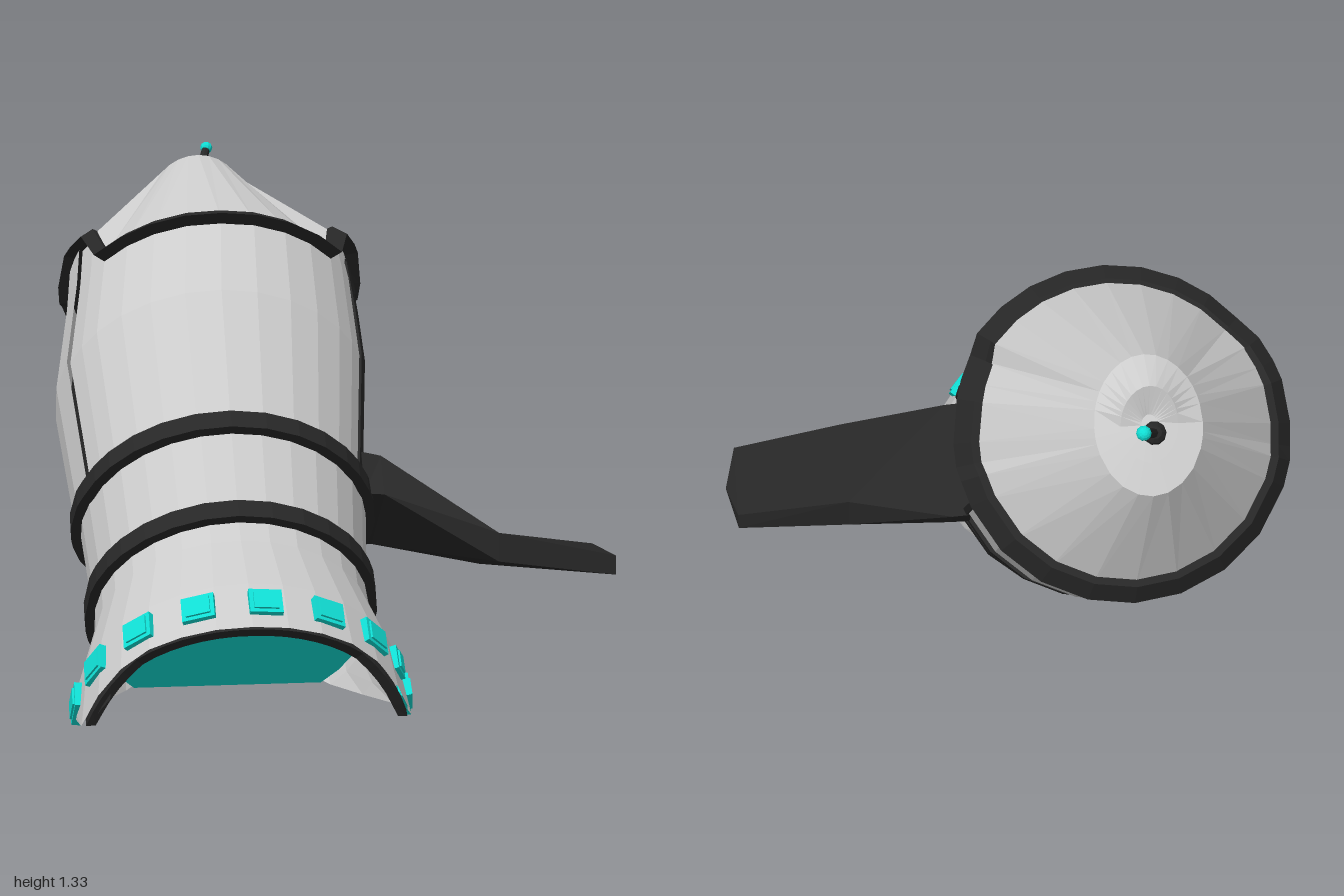
import * as THREE from 'three';

const mat = (color, side = THREE.DoubleSide) => new THREE.MeshStandardMaterial({ color, flatShading: true, side });
const GREY = mat(0xcccccc), BLACK = mat(0x272727), TEAL = mat(0x10ddd3);
const RAD = Math.PI / 180, TILT = -52.3 * RAD, LIFT = 0.375;

// hull profile: height along the axis, radius, shift of the centre in z and in x
const PROFILE = [[-0.65, 0.42, -0.03, 0], [-0.46, 0.4, -0.02, 0], [-0.27, 0.35, -0.03, 0], [-0.18, 0.35, -0.03, 0],
  [0.1, 0.375, -0.01, 0], [0.51, 0.42, 0, 0.005], [0.81, 0.4, 0.005, 0.025], [1, 0.385, 0, 0.027], [1.35, 0.385, 0, 0.01]];
// band courses and base edge: angle from the front, height along the axis
const UPPER = [[0, 0.805], [50, 0.815], [59, 0.957], [75, 0.998], [98, 0.982], [103, 1.01], [180, 1.004]];
const MIDDLE = [[0, 0.08], [68, 0.078], [115, 0.12], [180, 0.138]];
const LOWER = [[0, -0.185], [118, -0.19], [125, -0.13], [180, -0.12]];
const LIP = [[0, -0.6], [42, -0.595], [72, -0.65]];
// height of the crushed underside above the ground along the axis
const FLOOR = [[-0.65, 0.05], [-0.4, 0.004], [-0.25, 0.006], [-0.1, 0.03]];
const HALF = [0, 13, 26, 38, 50, 59, 68, 75, 90, 98, 103, 112, 130, 147, 164, 180];
const AROUND = [...HALF.slice(1).reverse().map((a) => -a), ...HALF];
const ANGLES = [...AROUND, ...HALF.slice(0, -1).reverse().map((a) => 360 - a)];

// piecewise linear lookup
function lookup(table, x, col = 1) {
  if (x <= table[0][0]) return table[0][col];
  for (let i = 1; i < table.length; i++) {
    const a = table[i - 1], b = table[i];
    if (x <= b[0]) return a[col] + (b[col] - a[col]) * (x - a[0]) / (b[0] - a[0]);
  }
  return table[table.length - 1][col];
}
const radius = (s) => lookup(PROFILE, s, 1);
const shift = (s) => lookup(PROFILE, s, 2);
const fold = (deg) => Math.abs(((deg + 180) % 360 + 360) % 360 - 180);
const upperAt = (deg) => lookup(UPPER, fold(deg));

// lowest local z above the crushed underside, and the angle where the hull meets it
const groundZ = (s) => (lookup(FLOOR, s) - LIFT - Math.cos(TILT) * s) / -Math.sin(TILT);
const groundAngle = (s) => Math.acos(THREE.MathUtils.clamp((groundZ(s) - shift(s)) / radius(s), -1, 1)) / RAD;

// point on the rocket from angle, height and radius
function point(deg, s, r) {
  const z = shift(s) + r * Math.cos(deg * RAD);
  return [lookup(PROFILE, s, 3) + r * Math.sin(deg * RAD), s, Math.max(z, groundZ(s))];
}

// grid of rows of points turned into a surface
function surface(name, rows, material) {
  const n = rows[0].length, index = [];
  for (let j = 0; j < rows.length - 1; j++) {
    for (let i = 0; i < n - 1; i++) {
      const a = j * n + i, b = a + 1, c = a + n, d = c + 1;
      index.push(a, b, d, a, d, c);
    }
  }
  const g = new THREE.BufferGeometry();
  g.setAttribute('position', new THREE.Float32BufferAttribute(rows.flat(2), 3));
  g.setIndex(index);
  g.computeVertexNormals();
  const mesh = new THREE.Mesh(g, material);
  mesh.name = name;
  return mesh;
}

// part of the hull between two angles, from s0 up to s1 or the upper band
function hullPatch(name, from, to, s0, s1, material = GREY, inset = 0, angles = ANGLES) {
  const heights = [s0, ...PROFILE.map((p) => p[0]).filter((s) => s > s0 && s < s1), s1];
  const cols = angles.filter((a) => a >= from && a <= to);
  return surface(name, heights.map((h) => cols.map((a) => {
    const s = Math.min(h, upperAt(a));
    return point(a, s, radius(s) - inset);
  })), material);
}

// four-cornered bar that follows a path of [angle, height] over the hull
function bar(name, path, dDeg, ds, inner, outer, taper = 0) {
  const corners = [[-1, -inner], [-1, outer + taper], [1, outer - taper], [1, -inner], [-1, -inner]];
  return surface(name, path.map(([a, s]) =>
    corners.map(([k, dr]) => point(a + k * dDeg, s + k * ds, radius(s) + dr))), BLACK);
}
const band = (name, course, ds, outer, taper) =>
  bar(name, AROUND.map((a) => [a, lookup(course, fold(a))]), 0, ds, 0.02, outer, taper);

export function createModel() {
  const model = new THREE.Group();
  model.name = 'crashedRocket';
  const rocket = new THREE.Group();
  rocket.name = 'rocket';
  rocket.position.set(-0.3, LIFT, 0.29);
  rocket.rotation.x = TILT;
  model.add(rocket);

  // lower hull, cut off where it meets the ground
  const lowRows = [-0.65, -0.56, -0.46, -0.36, -0.27, -0.18, -0.04, 0.1].map((s, row) => {
    const m = groundAngle(s);
    return Array.from({ length: 31 }, (_, i) => {
      const a = THREE.MathUtils.clamp(-180 + i * 12, -m, m);
      const h = row ? s : lookup(LIP, Math.abs(a));
      return point(a, h, radius(h));
    });
  });
  rocket.add(surface('lowerHull', lowRows, GREY));

  // main hull around the open doorway, and the closed door opposite
  rocket.add(hullPatch('frontHull', -68, 68, 0.1, 1.01));
  rocket.add(hullPatch('backHull', 112, 248, 0.1, 1.01));
  rocket.add(hullPatch('hullAboveDoorway', 68, 112, 0.88, 1.01));
  rocket.add(hullPatch('closedDoor', -112, -68, 0.1, 1.01, GREY, -0.01, [-112, -98, -82, -68]));
  rocket.add(hullPatch('closedDoorLining', -109, -71, 0.12, 0.88, BLACK, 0.03, [-109, -98, -82, -71]));

  // nose cone with a narrowed, dented tip
  const noseRow = (s, r, rise = 0) => AROUND.map((a) => {
    const [x, y, z] = point(a, s, r);
    return [0.01 + (x - 0.01) * 0.77, y + rise * Math.max(0, Math.cos(a * RAD)), z];
  });
  rocket.add(surface('noseCone', [
    AROUND.map((a) => point(a, upperAt(a), radius(upperAt(a)))),
    noseRow(1.322, 0.17), noseRow(1.33, 0.09, 0.05), noseRow(1.335, 0.025), noseRow(1.335, 0),
  ], GREY));

  // black bands
  rocket.add(band('upperBand', UPPER, 0.027, 0.02, 0.02));
  rocket.add(band('middleBand', MIDDLE, 0.026, 0.024));
  rocket.add(band('lowerBand', LOWER, 0.026, 0.024));

  // doorway frame
  for (const [a, width] of [[68, 2], [112, 1.2]]) {
    rocket.add(bar('doorwaySide', [0.1, 0.3, 0.51, 0.7, 0.88].map((s) => [a, s]), width, 0, 0.012, 0.006));
  }
  rocket.add(bar('doorwayTop', [[67, 0.88], [80, 0.86], [90, 0.855], [100, 0.87], [113, 0.895]], 0, 0.016, 0.03, 0.006));

  // rim of the base and the dark strip inside it
  const rimEnd = groundAngle(-0.65);
  const rimPath = Array.from({ length: 25 }, (_, i) => -rimEnd + 2 * rimEnd * i / 24)
    .map((a) => [a, lookup(LIP, Math.abs(a)) + 0.012]);
  rocket.add(bar('baseRim', rimPath, 0, 0.01, 0.035, -0.011));
  rocket.add(surface('baseInnerStrip', [-0.64, -0.59, -0.54].map((s) =>
    [-76, -70, -64, -58].map((a) => point(a, s, radius(s) - 0.025))), BLACK));

  // glowing plate inside the base, facing out of the opening
  const disc = [0, 0.5, 0.85, 1].map((k) => Array.from({ length: 33 }, (_, i) => point(i * 11.25, -0.25, 0.345 * k)));
  rocket.add(surface('enginePlate', disc, mat(0x10ddd3, THREE.FrontSide)));

  // row of lights round the base
  for (const a of [-84, -62.5, -40, -17.5, 5, 27.5, 49, 66, 84]) {
    const light = new THREE.Group();
    light.name = 'baseLight';
    const w = a === 66 ? 0.05 : 0.08;
    const plate = new THREE.Mesh(new THREE.BoxGeometry(w, 0.07, 0.024), TEAL);
    const lens = new THREE.Mesh(new THREE.BoxGeometry(w - 0.02, 0.05, 0.034), TEAL);
    plate.name = 'lightPlate';
    lens.name = 'lightLens';
    light.add(plate, lens);
    light.position.set(...point(a, -0.525, radius(-0.525)));
    light.rotation.y = a * RAD;
    rocket.add(light);
  }

  // antenna
  const foot = new THREE.Vector3(0, 1.33, -0.02), tip = new THREE.Vector3(0.06, 1.58, -0.03);
  const rod = new THREE.Mesh(new THREE.TubeGeometry(new THREE.LineCurve3(foot, tip), 1, 0.012, 8), BLACK);
  rod.name = 'antennaRod';
  const base = new THREE.Mesh(new THREE.SphereGeometry(0.03, 10, 6), BLACK);
  base.name = 'antennaBase';
  base.position.copy(foot);
  const ball = new THREE.Mesh(new THREE.SphereGeometry(0.018, 10, 8), TEAL);
  ball.name = 'antennaBall';
  ball.position.copy(tip);
  rocket.add(rod, base, ball);

  // open door lying out as a bent ramp: cross-sections of [z, y] at each x
  const ramp = [
    [0.06, [[0.24, 0.6], [0.03, 0.37], [0.07, 0.32], [0.3, 0.5]]],
    [0.11, [[0.25, 0.59], [0.04, 0.36], [0.07, 0.32], [0.32, 0.5]]],
    [0.39, [[0.44, 0.415], [0.14, 0.36], [0.15, 0.275], [0.44, 0.34]]],
    [0.695, [[0.45, 0.35], [0.16, 0.325], [0.16, 0.28], [0.45, 0.3]]],
  ];
  const rows = ramp.map(([x, q]) => [...q, q[0]].map(([z, y]) => [x, y, z]));
  const centre = (row) => row.map(() => [0, 1, 2].map((k) => row.slice(0, 4).reduce((t, p) => t + p[k] / 4, 0)));
  const end = centre(rows[3]);
  end.forEach((p) => { p[0] = 0.725; });
  model.add(surface('doorRamp', [centre(rows[0]), ...rows, end], BLACK));

  return model;
}
